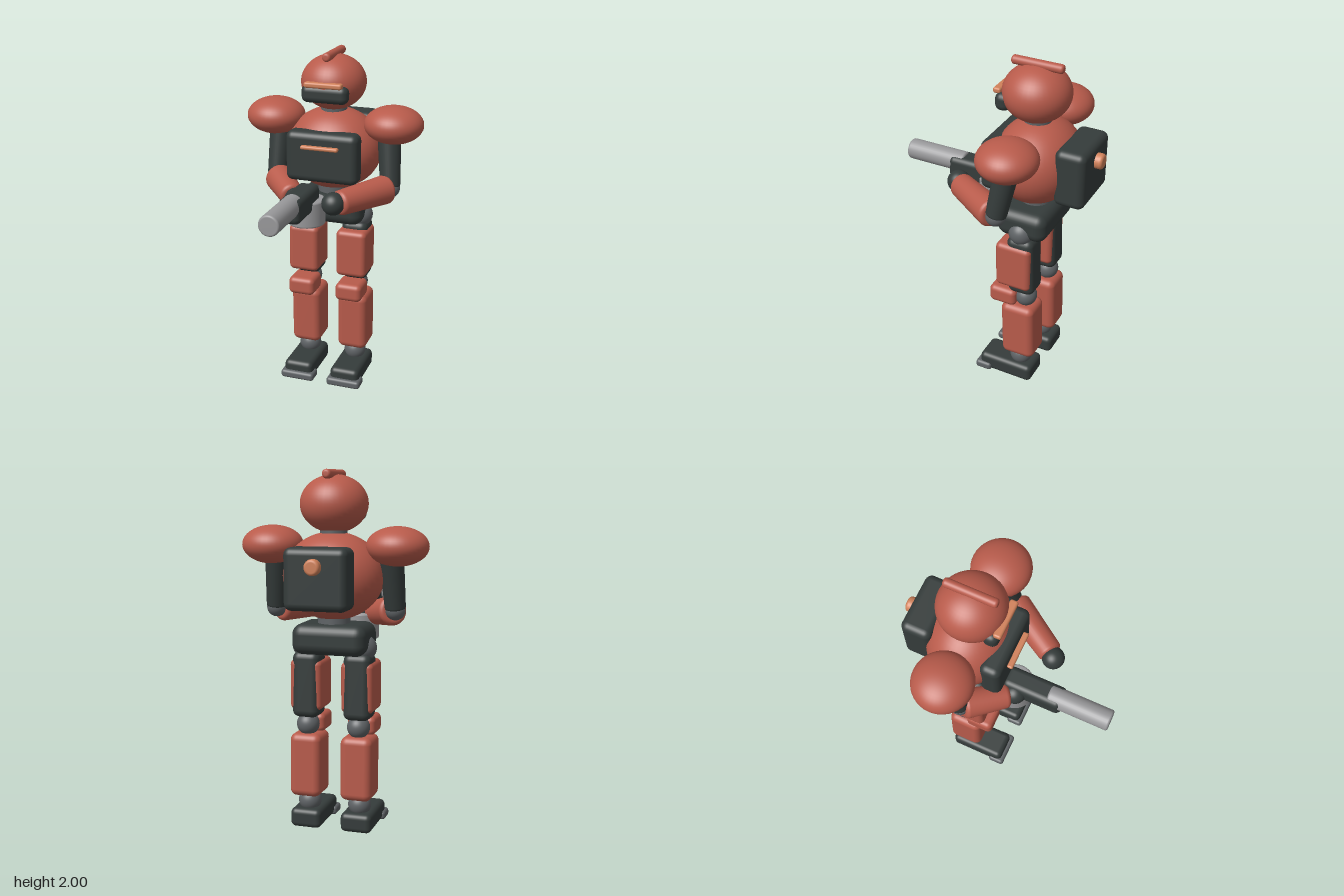
import * as THREE from 'three';
import { RoundedBoxGeometry } from 'three/addons/geometries/RoundedBoxGeometry.js';

const paint = (name, color) => {
  const m = new THREE.MeshStandardMaterial({ color });
  m.name = name;
  return m;
};

export function createModel() {
  const red = paint('red armour', 0xb85b4b);
  const dark = paint('dark plating', 0x353c3b);
  const gray = paint('joint gray', 0x5f6366);
  const light = paint('light metal', 0x98989a);
  const orange = paint('orange trim', 0xd0815a);

  const model = new THREE.Group();
  model.name = 'robot';

  const add = (name, geometry, material, [x, y, z], parent = model) => {
    const mesh = new THREE.Mesh(geometry, material);
    mesh.name = name;
    mesh.position.set(x, y, z);
    parent.add(mesh);
    return mesh;
  };

  // Rounded box given by its centre, size and edge radius
  const box = (name, mat, pos, [w, h, d], r, parent) =>
    add(name, new RoundedBoxGeometry(w, h, d, 4, r), mat, pos, parent);

  // Ellipsoid given by its centre and three radii
  const ball = (name, mat, pos, [rx, ry, rz], parent) =>
    add(name, new THREE.SphereGeometry(1, 40, 28).scale(rx, ry, rz), mat, pos, parent);

  // Tapered round bar with softened rims, running between two points
  const bar = (name, mat, from, to, r0, r1, soft, parent) => {
    const a = new THREE.Vector3(...from), b = new THREE.Vector3(...to);
    const len = a.distanceTo(b);
    const profile = [new THREE.Vector2(0, 0)];
    for (let i = 0; i <= 5; i++) {
      const t = (i / 5) * Math.PI / 2;
      profile.push(new THREE.Vector2(r0 - soft + soft * Math.sin(t), soft - soft * Math.cos(t)));
    }
    for (let i = 0; i <= 5; i++) {
      const t = (i / 5) * Math.PI / 2;
      profile.push(new THREE.Vector2(r1 - soft + soft * Math.cos(t), len - soft + soft * Math.sin(t)));
    }
    profile.push(new THREE.Vector2(0, len));
    const mesh = add(name, new THREE.LatheGeometry(profile, 32), mat, from, parent);
    mesh.quaternion.setFromUnitVectors(new THREE.Vector3(0, 1, 0), b.sub(a).normalize());
    return mesh;
  };

  // Head
  ball('head', red, [0, 1.818, -0.222], [0.186, 0.157, 0.187]);
  bar('crest', red, [0, 1.975, -0.075], [0, 1.975, -0.37], 0.025, 0.025, 0.015);
  box('visor', dark, [0, 1.775, -0.073], [0.27, 0.1, 0.085], 0.036);
  box('visorTrim', orange, [0, 1.83, -0.038], [0.22, 0.032, 0.045], 0.012);
  bar('neck', gray, [0, 1.6, -0.23], [0, 1.72, -0.23], 0.075, 0.075, 0.01);

  // Torso
  ball('torso', red, [0, 1.43, -0.24], [0.28, 0.24, 0.24]);
  box('chestPlate', dark, [0, 1.425, -0.045], [0.425, 0.29, 0.12], 0.04);
  box('chestTrim', orange, [0, 1.49, 0.03], [0.22, 0.022, 0.034], 0.01);
  box('backpack', dark, [0, 1.435, -0.487], [0.35, 0.33, 0.175], 0.04);
  bar('backpackKnob', orange, [0, 1.503, -0.55], [0, 1.503, -0.616], 0.043, 0.043, 0.016);
  bar('waist', gray, [0, 1.13, -0.23], [0, 1.26, -0.23], 0.09, 0.09, 0.01);
  box('pelvis', dark, [0, 1.088, -0.225], [0.42, 0.17, 0.295], 0.06);

  // Arms, each bent to its own pose
  const arms = [
    { name: 'leftArm', side: 1, top: [0.33, 1.57, -0.225], elbow: [0.36, 1.24, -0.165],
      wrist: [0.155, 1.232, 0.165], hand: [0.135, 1.235, 0.185] },
    { name: 'rightArm', side: -1, top: [-0.318, 1.57, -0.225], elbow: [-0.33, 1.245, -0.165],
      wrist: [-0.155, 1.2, 0.045], hand: [-0.125, 1.195, 0.07] },
  ];
  for (const { name, side, top, elbow, wrist, hand } of arms) {
    const arm = new THREE.Group();
    arm.name = name;
    model.add(arm);
    ball('shoulder', red, [side * 0.355, 1.595, -0.228], [0.17, 0.107, 0.166], arm);
    bar('upperArm', dark, top, elbow, 0.068, 0.058, 0.02, arm);
    ball('elbow', gray, elbow, [0.056, 0.056, 0.056], arm);
    const start = elbow.map((v, i) => v + (wrist[i] - v) * 0.06);
    bar('forearm', red, start, wrist, 0.083, 0.07, 0.025, arm);
    ball('hand', dark, hand, [0.064, 0.064, 0.064], arm);
  }

  // Blaster
  const blaster = new THREE.Group();
  blaster.name = 'blaster';
  model.add(blaster);
  box('blasterBody', dark, [-0.07, 1.207, 0.165], [0.13, 0.14, 0.35], 0.035, blaster);
  bar('barrel', light, [-0.07, 1.232, 0.25], [-0.07, 1.232, 0.615], 0.06, 0.06, 0.012, blaster);
  bar('drum', light, [-0.07, 1.05, 0.045], [-0.07, 1.2, 0.045], 0.108, 0.108, 0.012, blaster);

  // Legs
  for (const side of [1, -1]) {
    const leg = new THREE.Group();
    leg.name = side > 0 ? 'leftLeg' : 'rightLeg';
    model.add(leg);
    const x = side * 0.147;
    ball('hip', gray, [side * 0.168, 1.04, -0.225], [0.073, 0.073, 0.073], leg);
    const thigh = box('thigh', dark, [x, 0.825, -0.235], [0.155, 0.37, 0.16], 0.04, leg);
    thigh.rotation.x = 0.03;
    box('thighArmour', red, [x, 0.823, -0.198], [0.182, 0.285, 0.213], 0.03, leg);
    ball('knee', gray, [x, 0.597, -0.25], [0.064, 0.064, 0.064], leg);
    box('kneePad', red, [x, 0.592, -0.13], [0.16, 0.107, 0.165], 0.03, leg);
    const shin = box('shin', red, [x, 0.367, -0.229], [0.18, 0.36, 0.203], 0.04, leg);
    shin.rotation.x = 0.025;
    ball('ankle', gray, [x, 0.145, -0.225], [0.065, 0.065, 0.065], leg);
    box('foot', dark, [x, 0.058, -0.155], [0.178, 0.108, 0.335], 0.03, leg);
    box('toe', gray, [x, 0.028, -0.015], [0.208, 0.05, 0.1], 0.018, leg);
  }

  return model;
}
